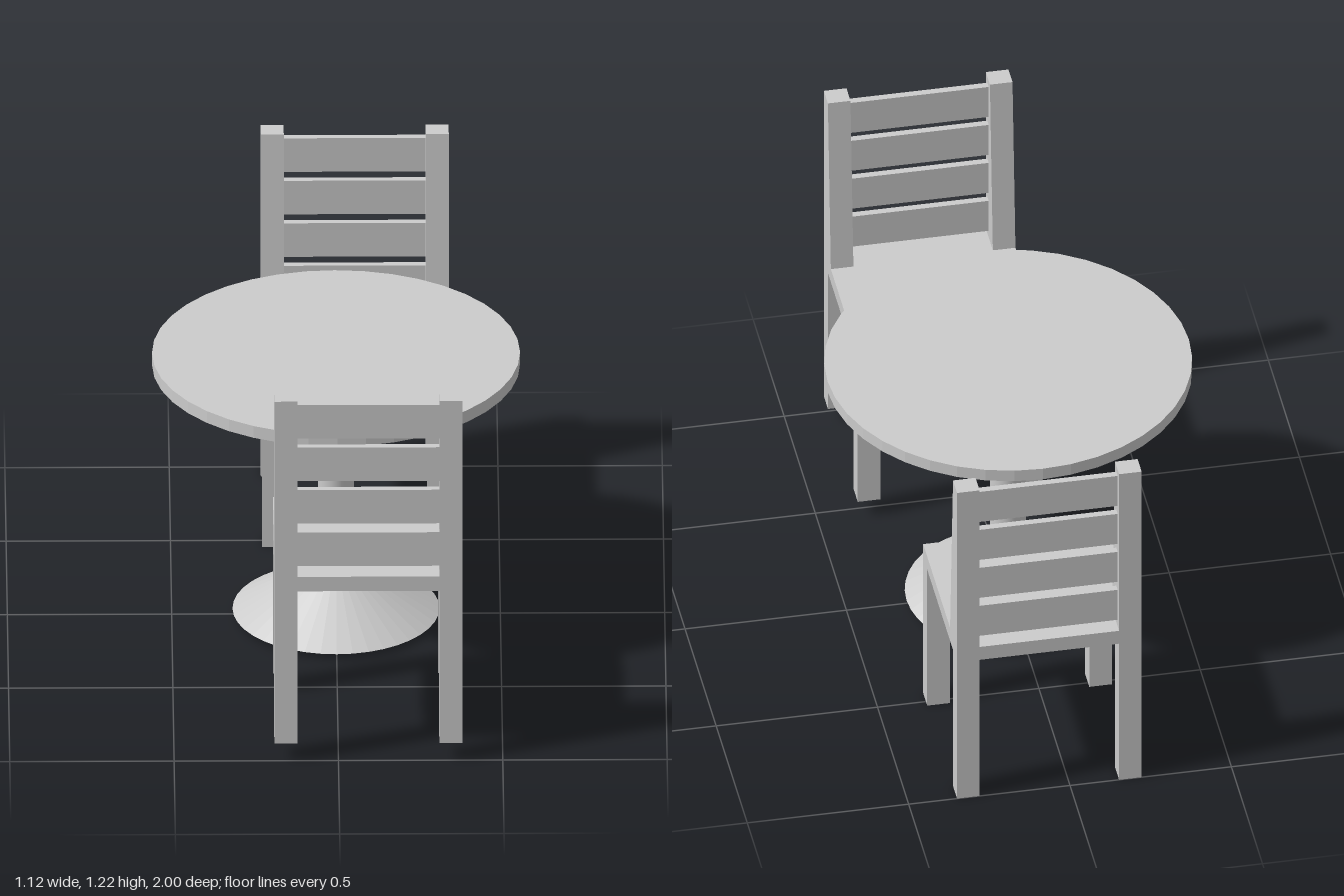
import * as THREE from 'three';

const material = new THREE.MeshStandardMaterial({ color: 0xcccccc });
const faceted = new THREE.MeshStandardMaterial({ color: 0xcccccc, flatShading: true });

function addMesh(parent, name, geometry, mat = material) {
  const mesh = new THREE.Mesh(geometry, mat);
  mesh.name = name;
  parent.add(mesh);
  return mesh;
}

// Box given by its centre x, its y range and its z range
function addBox(parent, name, x, width, y0, y1, z0, z1) {
  const mesh = addMesh(parent, name, new THREE.BoxGeometry(width, y1 - y0, z1 - z0));
  mesh.position.set(x, (y0 + y1) / 2, (z0 + z1) / 2);
}

// Chair with its back at z = 1, facing the table at the origin
function createChair(name) {
  const chair = new THREE.Group();
  chair.name = name;
  const width = 0.572, leg = 0.07, seatBottom = 0.518, seatTop = 0.567, height = 1.163;
  const front = 0.456, back = 1, depth = 0.065;

  addBox(chair, 'seat', 0, width, seatBottom, seatTop, front, back);

  // Back post: upright outside, tapering inside
  const profile = new THREE.Shape([
    new THREE.Vector2(back, seatTop),
    new THREE.Vector2(back, height),
    new THREE.Vector2(back - depth, height),
    new THREE.Vector2(0.888, seatTop),
  ]);
  const postGeometry = new THREE.ExtrudeGeometry(profile, { depth: leg, bevelEnabled: false });
  postGeometry.translate(0, 0, -leg / 2).rotateY(-Math.PI / 2);

  for (const side of [-1, 1]) {
    const label = side > 0 ? 'left' : 'right';
    const x = side * (width - leg) / 2;
    addBox(chair, label + 'FrontLeg', x, leg, 0, seatBottom, front, front + depth);
    addBox(chair, label + 'BackLeg', x, leg, 0, seatBottom, back - depth, back);
    addMesh(chair, label + 'BackPost', postGeometry).position.x = x;
  }

  // Four horizontal slats between the posts
  for (let i = 0; i < 4; i++) {
    const y = 0.592 + i * 0.1445;
    addBox(chair, 'backSlat' + (i + 1), 0, width - 2 * leg, y, y + 0.114, 0.955, 0.977);
  }
  return chair;
}

// Round table: disc on a shallow cone, column and flared foot
function createTable() {
  const table = new THREE.Group();
  table.name = 'table';
  const sides = 40, column = 0.055;
  const parts = [
    ['tableTop', 0.56, 0.56, 0.845, 0.885, false, faceted],
    ['topSupport', 0.56, column, 0.735, 0.845, true, faceted],
    ['column', column, column, 0.17, 0.735, true, material],
    ['foot', column, 0.315, 0.016, 0.17, false, faceted],
  ];
  for (const [name, rTop, rBottom, y0, y1, open, mat] of parts) {
    const geometry = new THREE.CylinderGeometry(rTop, rBottom, y1 - y0, sides, 1, open);
    addMesh(table, name, geometry, mat).position.y = (y0 + y1) / 2;
  }
  table.position.z = -0.006;
  return table;
}

export function createModel() {
  const model = new THREE.Group();
  model.name = 'tableWithChairs';
  model.add(createTable());

  // Front chair stands slightly higher than the rear one
  const frontChair = createChair('frontChair');
  frontChair.position.set(0.091, 0.058, 0);
  const rearChair = createChair('rearChair');
  rearChair.position.set(0.064, 0, 0);
  rearChair.rotation.y = Math.PI;
  model.add(frontChair, rearChair);
  return model;
}
